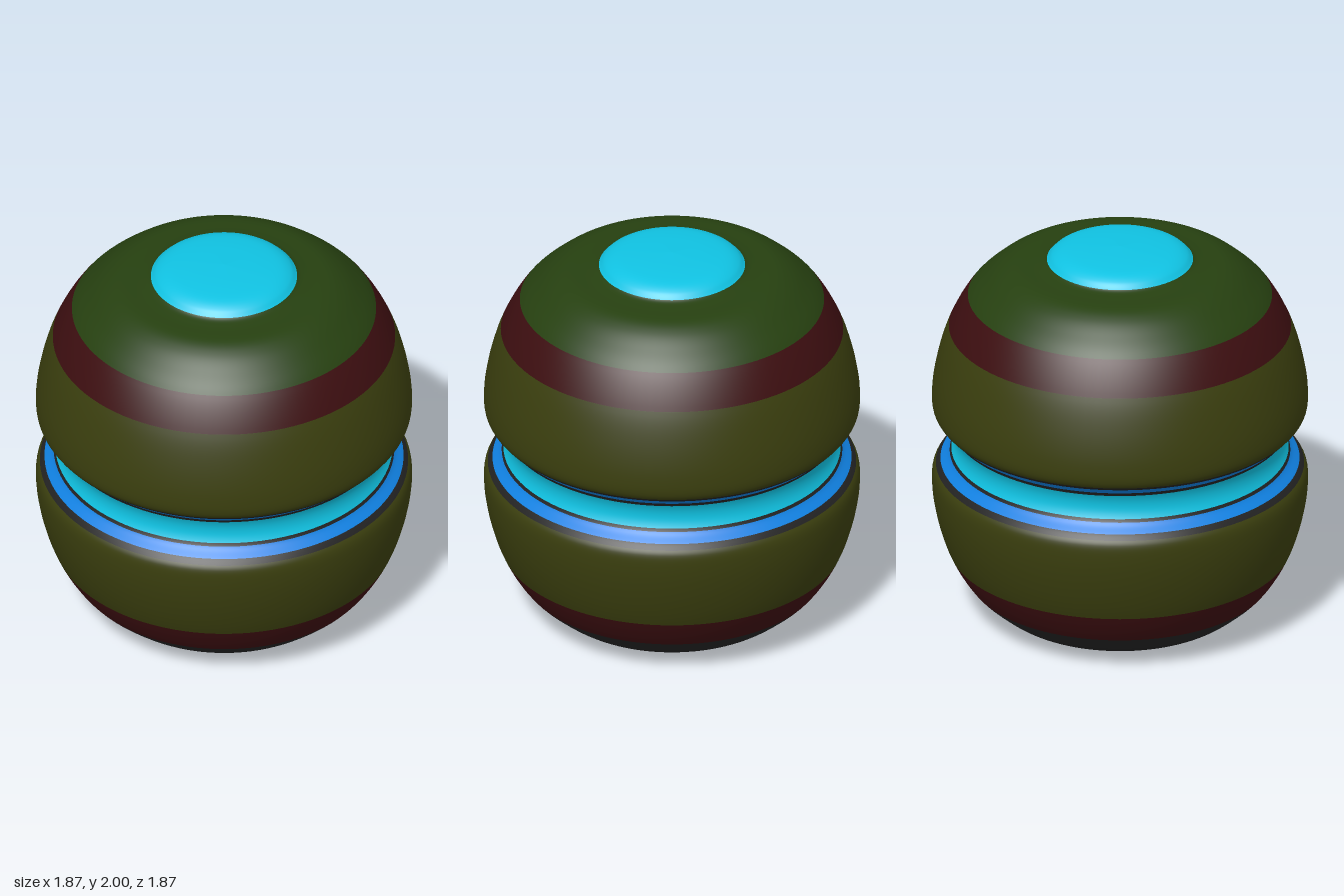
import * as THREE from 'three';

const material = (name, color) => {
  const m = new THREE.MeshStandardMaterial({ color });
  m.name = name;
  return m;
};

export function createModel() {
  const charcoal = material('charcoal', 0x222222);
  const maroon = material('maroon', 0x3c0e10);
  const olive = material('olive', 0x3a3e0e);
  const blue = material('blue', 0x1080e0);
  const cyan = material('cyan', 0x10c2e2);
  const green = material('green', 0x264010);

  // Radius and height from the base, round the waist groove, up to the cap
  const profile = [
    [0, 0], [0.3, 0.01], [0.5, 0.025], [0.58, 0.05], [0.68, 0.125], [0.755, 0.2],
    [0.845, 0.35], [0.905, 0.53], [0.932, 0.7], [0.927, 0.79], [0.9, 0.83],
    [0.85, 0.875], [0.828, 0.92], [0.822, 0.96], [0.828, 1.0], [0.85, 1.045],
    [0.9, 1.09], [0.927, 1.13], [0.932, 1.22], [0.905, 1.39], [0.85, 1.565],
    [0.755, 1.735], [0.67, 1.82], [0.6, 1.872], [0.53, 1.902], [0.42, 1.913],
    [0.37, 1.925], [0.335, 1.957], [0.29, 1.978], [0.2, 1.991], [0, 2],
  ].map(([r, y]) => new THREE.Vector3(r, y, 0));
  const curve = new THREE.CatmullRomCurve3(profile, false, 'centripetal');
  const points = curve.getPoints(240).map((p) => new THREE.Vector2(Math.max(p.x, 0), p.y));
  points[0].x = points[points.length - 1].x = 0;

  // Point of the profile at a given height
  const pointAt = (y) => {
    const i = points.findIndex((p) => p.y >= y);
    const a = points[i - 1], b = points[i];
    return a.clone().lerp(b, (y - a.y) / (b.y - a.y));
  };

  // Coloured bands, each with the height of its upper edge
  const bands = [
    ['base', 0.187, charcoal],
    ['lowerStripe', 0.352, maroon],
    ['lowerBody', 0.814, olive],
    ['lowerOuterLine', 0.839, charcoal],
    ['lowerBlueRing', 0.882, blue],
    ['lowerInnerLine', 0.897, charcoal],
    ['waistGroove', 1.025, cyan],
    ['upperInnerLine', 1.046, charcoal],
    ['upperBlueRing', 1.083, blue],
    ['upperOuterLine', 1.1, charcoal],
    ['upperBody', 1.566, olive],
    ['upperStripe', 1.735, maroon],
    ['shoulder', 1.93, green],
    ['topCap', 2, cyan],
  ];

  const group = new THREE.Group();
  group.name = 'bandedBody';
  let from = 0;
  for (const [name, to, mat] of bands) {
    const start = from === 0 ? points[0] : pointAt(from);
    const end = to === 2 ? points[points.length - 1] : pointAt(to);
    const inner = points.filter((p) => p.y > from + 0.0005 && p.y < to - 0.0005);
    const mesh = new THREE.Mesh(new THREE.LatheGeometry([start, ...inner, end], 96), mat);
    mesh.name = name;
    group.add(mesh);
    from = to;
  }
  return group;
}
